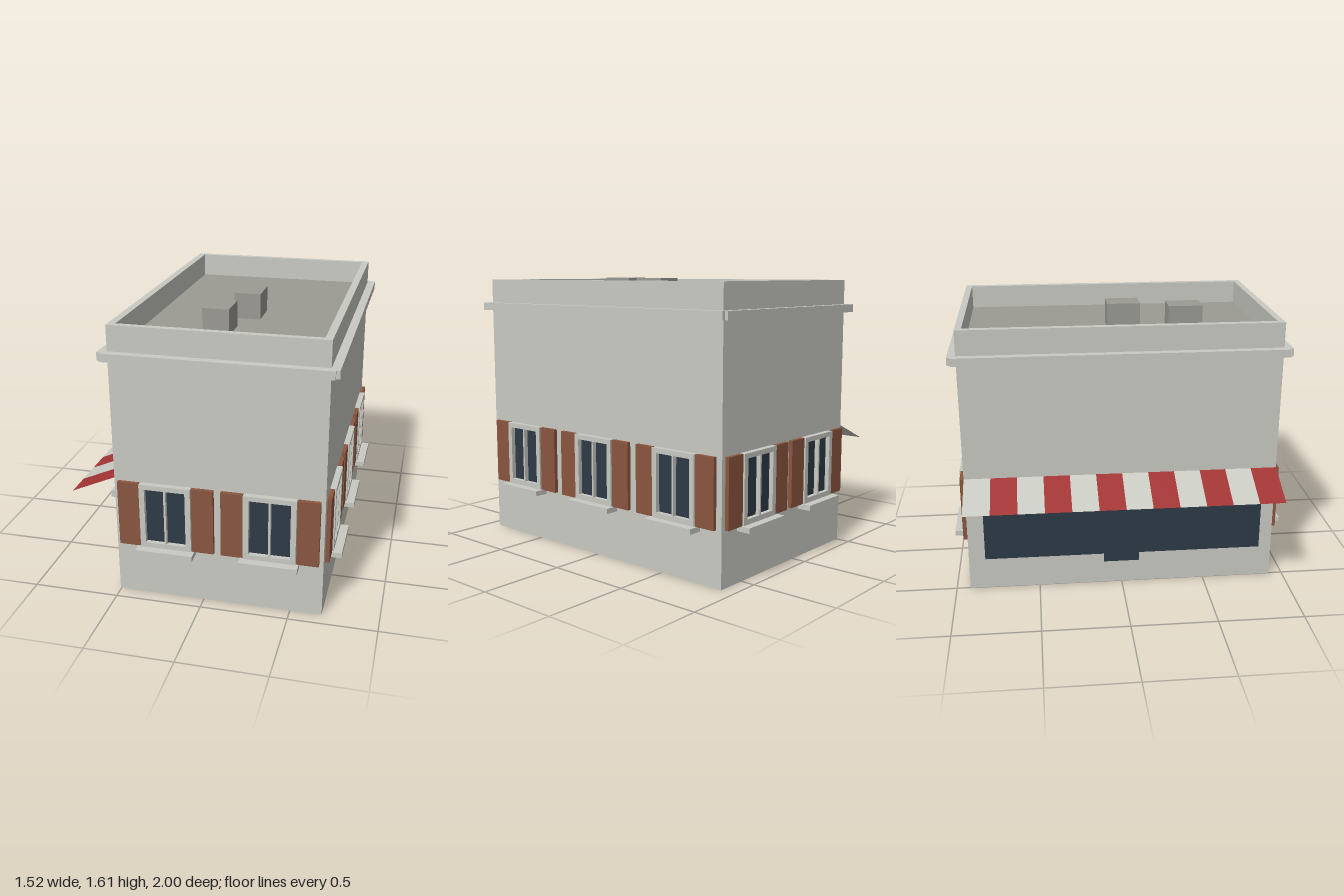
import * as THREE from 'three';

const mat = (name, color, side = THREE.FrontSide) => {
  const m = new THREE.MeshStandardMaterial({ color, side });
  m.name = name;
  return m;
};

export function createModel() {
  const plaster = mat('plaster', 0xc9cac2, THREE.DoubleSide);
  const roofGrey = mat('roofGrey', 0x9b9a93);
  const wood = mat('shutterWood', 0x8b5640);
  const glass = mat('darkGlass', 0x2d3a46);
  const red = mat('awningRed', 0xa23434, THREE.DoubleSide);

  const model = new THREE.Group();
  model.name = 'shopBuilding';

  // Body limits and heights
  const X0 = -0.505, X1 = 0.68, Z = 0.918, TOP = 1.6, ROOF = 1.46;
  const cx = (X0 + X1) / 2, w = X1 - X0;

  const add = (parent, name, geometry, material) => {
    const m = new THREE.Mesh(geometry, material);
    m.name = name;
    parent.add(m);
    return m;
  };
  // Box given by its minimum and maximum corners
  const box = (parent, name, material, x0, x1, y0, y1, z0, z1) => {
    const m = add(parent, name, new THREE.BoxGeometry(x1 - x0, y1 - y0, z1 - z0), material);
    m.position.set((x0 + x1) / 2, (y0 + y1) / 2, (z0 + z1) / 2);
    return m;
  };
  const rect = (P, x0, x1, y0, y1) => {
    const p = new P();
    p.moveTo(x0, y0);
    p.lineTo(x1, y0);
    p.lineTo(x1, y1);
    p.lineTo(x0, y1);
    p.closePath();
    return p;
  };

  // Hollow walls, open at the bottom
  const seam = 1.43;
  const wall = (name, width, x, z, turn) => {
    const m = add(model, name, new THREE.PlaneGeometry(width, seam), plaster);
    m.position.set(x, seam / 2, z);
    m.rotation.y = turn;
  };
  wall('frontWall', w, cx, Z, 0);
  wall('backWall', w, cx, -Z, Math.PI);
  wall('leftWall', 2 * Z, X1, 0, Math.PI / 2);
  wall('rightWall', 2 * Z, X0, 0, -Math.PI / 2);

  // Parapet ring around the sunken roof
  const ring = rect(THREE.Shape, X0, X1, -Z, Z);
  ring.holes.push(rect(THREE.Path, X0 + 0.042, X1 - 0.042, -Z + 0.038, Z - 0.038));
  const parapet = add(model, 'parapet',
    new THREE.ExtrudeGeometry(ring, { depth: TOP - seam, bevelEnabled: false }), plaster);
  parapet.rotation.x = -Math.PI / 2;
  parapet.position.y = seam;
  box(model, 'roof', roofGrey, X0 + 0.02, X1 - 0.02, ROOF - 0.015, ROOF, -Z + 0.02, Z - 0.02);
  box(model, 'roofVentBack', roofGrey, 0.003, 0.157, ROOF, 1.61, -0.04, 0.16);
  box(model, 'roofVentFront', roofGrey, -0.093, 0.058, ROOF, 1.61, 0.32, 0.525);

  // Cornice of four bars with notched corners
  for (const s of [-1, 1]) {
    const z = s * (Z + 0.024);
    box(model, 'corniceEnd', plaster, X0 - 0.027, X1 + 0.027, 1.41, 1.456, z - 0.024, z + 0.024);
    const x = cx + s * (w / 2 + 0.024);
    box(model, 'corniceSide', plaster, x - 0.024, x + 0.024, 1.41, 1.456, -Z - 0.03, Z + 0.03);
  }

  // Shuttered window, facing +z from the wall plane
  const addWindow = (x, z, turn) => {
    const g = new THREE.Group();
    g.name = 'window';
    const frame = rect(THREE.Shape, -0.147, 0.147, 0.32, 0.708);
    for (const s of [-1, 1]) {
      const a = s * 0.006, b = s * 0.116;
      frame.holes.push(rect(THREE.Path, Math.min(a, b), Math.max(a, b), 0.35, 0.68));
      const c = s * 0.212;
      box(g, 'shutter', wood, c - 0.062, c + 0.062, 0.319, 0.708, 0.003, 0.026);
    }
    add(g, 'windowFrame',
      new THREE.ExtrudeGeometry(frame, { depth: 0.034, bevelEnabled: false }), plaster);
    box(g, 'windowGlass', glass, -0.118, 0.118, 0.348, 0.682, 0.001, 0.008);
    box(g, 'windowSill', plaster, -0.164, 0.164, 0.29, 0.32, 0, 0.082);
    g.position.set(x, 0, z);
    g.rotation.y = turn;
    model.add(g);
  };
  for (const s of [-1, 1]) {
    addWindow(cx + s * 0.295, Z, 0);
    addWindow(cx + s * 0.295, -Z, Math.PI);
  }
  for (const z of [-0.61, 0, 0.61]) addWindow(X1, z, Math.PI / 2);

  // Shop front: wide glass, projecting door and lintel
  box(model, 'shopGlass', glass, X0 - 0.014, X0, 0.2, 0.567, -0.82, 0.84);
  box(model, 'shopDoor', glass, X0 - 0.032, X0 - 0.012, 0.157, 0.567, -0.11, 0.1);
  box(model, 'shopLintel', plaster, X0 - 0.048, X0 - 0.008, 0.565, 0.604, -0.84, 0.86);

  // Sloping awning in twelve stripes
  const xo = -0.76, yi = 0.72, yo = 0.608, n = 12, step = 2 * Z / n;
  const slope = Math.atan2(yi - yo, X0 - xo);
  const reach = Math.hypot(X0 - xo, yi - yo);
  for (let i = 0; i < n; i++) {
    const stripe = add(model, 'awningStripe',
      new THREE.PlaneGeometry(reach, step).rotateX(-Math.PI / 2).rotateZ(slope),
      i % 2 ? red : plaster);
    stripe.position.set((X0 + xo) / 2, (yi + yo) / 2, -Z + (i + 0.5) * step);
  }

  return model;
}
